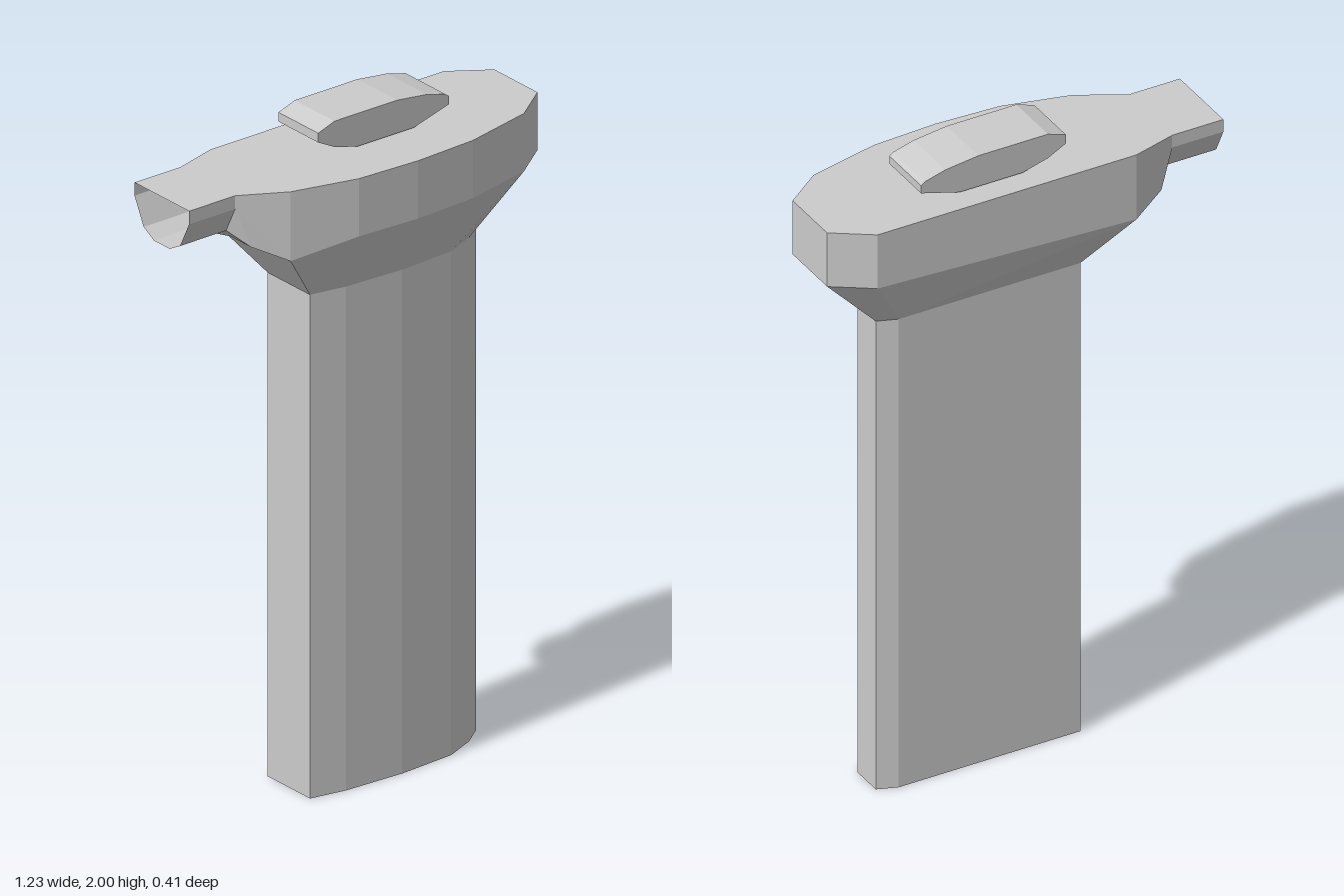
import * as THREE from 'three';

// Skin a list of equal-length rings of [x, y, z] points
function loft(rings, closed) {
  const n = rings[0].length;
  const index = [];
  for (let r = 0; r < rings.length - 1; r++) {
    for (let j = 0; j < (closed ? n : n - 1); j++) {
      const a = r * n + j, b = r * n + (j + 1) % n;
      index.push(a, b, b + n, a, b + n, a + n);
    }
  }
  const g = new THREE.BufferGeometry();
  g.setAttribute('position', new THREE.Float32BufferAttribute(rings.flat(2), 3));
  g.setIndex(index);
  const flat = g.toNonIndexed();
  flat.computeVertexNormals();
  return flat;
}

export function createModel() {
  const group = new THREE.Group();
  const material = new THREE.MeshStandardMaterial({
    color: 0xcccccc, flatShading: true, side: THREE.DoubleSide,
  });
  const add = (name, geometry) => {
    const mesh = new THREE.Mesh(geometry, material);
    mesh.name = name;
    group.add(mesh);
    return mesh;
  };

  const TOP = 1.895;
  // Plan outlines [x, z]: left front, along the curved front, round the end, back
  const shaftPlan = [[-0.2, 0.08], [-0.09, 0.1], [0.1, 0.11], [0.28, 0.1], [0.375, 0.06],
    [0.435, 0.015], [0.435, -0.085], [0.375, -0.107], [-0.2, -0.107]];
  const headPlan = [[-0.32, 0.145], [-0.12, 0.195], [0.08, 0.205], [0.28, 0.195], [0.5, 0.145],
    [0.615, 0.06], [0.615, -0.13], [0.5, -0.208], [-0.32, -0.208]];
  const ring = (plan, y) => plan.map(([x, z]) => [x, y, z]);
  // The lower rim of the head dips at its left end
  const rim = headPlan.map(([x, z]) => [x, x < -0.3 ? 1.685 : 1.72, z]);

  // Hollow shaft, open at the bottom
  add('shaft', loft([ring(shaftPlan, 0), ring(shaftPlan, 1.525)], true));
  add('flare', loft([ring(shaftPlan, 1.525), rim], true));
  add('headWall', loft([rim, ring(headPlan, TOP)], false));

  // Half-round spout with an open end, [z, y] from front top round to back top
  const spoutSection = [[0.07, TOP], [0.07, 1.855], [0.03, 1.775], [-0.015, 1.75],
    [-0.085, 1.75], [-0.13, 1.775], [-0.17, 1.855], [-0.17, TOP]];
  const spoutRing = (x) => spoutSection.map(([z, y]) => [x, y, z]);
  add('spout', loft([spoutRing(-0.617), spoutRing(-0.455)], false));

  // Neck blending the spout into the square end of the head
  const shoulder = [[-0.455, TOP, 0.07], [-0.455, 1.855, 0.07], [-0.415, 1.735, 0.09],
    [-0.415, 1.735, 0.0], [-0.415, 1.735, -0.1], [-0.415, 1.735, -0.18],
    [-0.455, 1.855, -0.17], [-0.455, TOP, -0.17]];
  const headEnd = [[TOP, 0.145], [1.855, 0.145], [1.685, 0.145], [1.685, 0.04],
    [1.685, -0.1], [1.685, -0.208], [1.855, -0.208], [TOP, -0.208]]
    .map(([y, z]) => [-0.32, y, z]);
  add('neck', loft([spoutRing(-0.455), shoulder, headEnd], false));

  // Flat lid over head, neck and spout
  const lidPlan = [...headPlan, [-0.455, -0.17], [-0.617, -0.17], [-0.617, 0.07], [-0.455, 0.07]];
  const lid = new THREE.ShapeGeometry(
    new THREE.Shape(lidPlan.map(([x, z]) => new THREE.Vector2(x, -z))));
  lid.rotateX(-Math.PI / 2);
  add('lid', lid).position.y = TOP;

  // Lens-shaped block on the lid
  const profile = [[-0.137, 1.952], [-0.08, 1.922], [0, 1.9], [0.2, 1.9], [0.322, 1.935],
    [0.322, 1.96], [0.31, 1.969], [0.245, 1.987], [0.14, 2], [-0.08, 2], [-0.137, 1.98]];
  const block = new THREE.ExtrudeGeometry(
    new THREE.Shape(profile.map(([x, y]) => new THREE.Vector2(x, y))),
    { depth: 0.175, bevelEnabled: false });
  add('topBlock', block).position.z = -0.138;

  return group;
}
